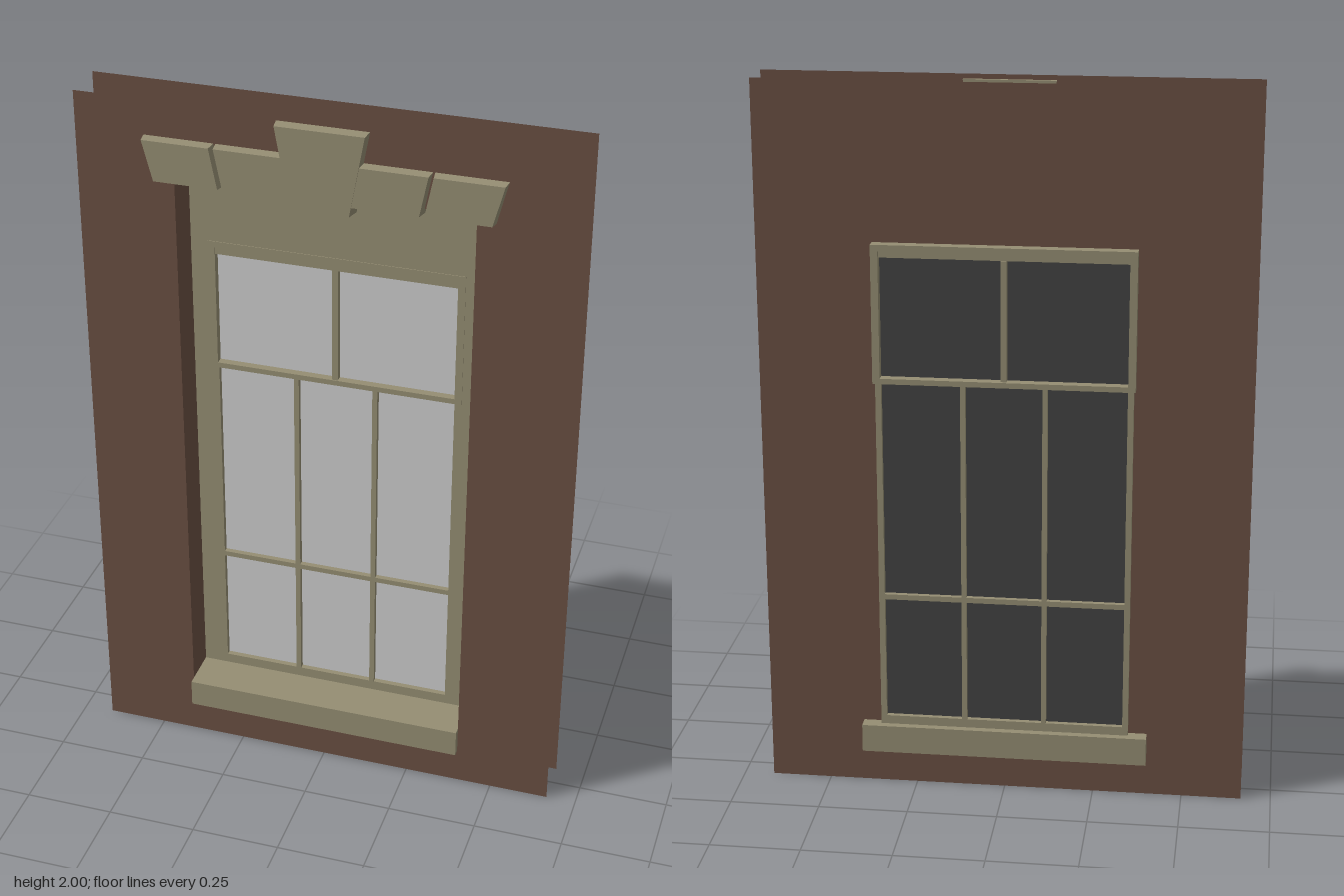
import * as THREE from 'three';

const mat = (name, color, side = THREE.FrontSide) => {
  const m = new THREE.MeshStandardMaterial({ color, side });
  m.name = name;
  return m;
};

export function createModel() {
  const model = new THREE.Group();
  model.name = 'sashWindow';
  const brick = mat('brownBrick', 0x6a4f42, THREE.DoubleSide);
  const stone = mat('paleStone', 0x958e73, THREE.DoubleSide);
  const blind = mat('lightBlind', 0xcecece);
  const glass = mat('darkGlass', 0x424242);

  const add = (name, geometry, material, parent = model) => {
    const mesh = new THREE.Mesh(geometry, material);
    mesh.name = name;
    parent.add(mesh);
    return mesh;
  };
  // Box given by its limits on each axis
  const box = (name, x0, x1, y0, y1, z0, z1, material, parent) => {
    const m = add(name, new THREE.BoxGeometry(x1 - x0, y1 - y0, z1 - z0), material, parent);
    m.position.set((x0 + x1) / 2, (y0 + y1) / 2, (z0 + z1) / 2);
    return m;
  };
  // Flat rectangle at depth z, facing front or back
  const plane = (name, x0, x1, y0, y1, z, material, facing = 1, parent = model) => {
    const m = add(name, new THREE.PlaneGeometry(x1 - x0, y1 - y0), material, parent);
    m.position.set((x0 + x1) / 2, (y0 + y1) / 2, z);
    if (facing < 0) m.rotation.y = Math.PI;
    return m;
  };
  // Flat sheet with rectangular holes [x0, x1, y0, y1]
  const sheet = (name, [x0, x1, y0, y1], holes, z, material) => {
    const rect = (C, a, b, c, d) => new C([[a, c], [b, c], [b, d], [a, d]].map(p => new THREE.Vector2(...p)));
    const s = rect(THREE.Shape, x0, x1, y0, y1);
    holes.forEach(h => s.holes.push(rect(THREE.Path, ...h)));
    add(name, new THREE.ShapeGeometry(s), material).position.z = z;
  };

  // Front and back wall skins
  const zFront = 0.068, zPanel = -0.035, zBack = -0.062;
  sheet('frontWall', [-0.667, 0.667, 0, 2], [[-0.4, 0.4, 0.17, 1.8]], zFront, brick);
  sheet('backWall', [-0.667, 0.667, 0, 2], [], zBack, brick);

  // Brick reveal lining the opening
  const depth = zFront - zPanel, zMid = (zFront + zPanel) / 2;
  for (const s of [-1, 1]) {
    const jamb = add(s > 0 ? 'leftReveal' : 'rightReveal', new THREE.PlaneGeometry(depth, 1.63), brick);
    jamb.rotation.y = -s * Math.PI / 2;
    jamb.position.set(s * 0.4, 0.985, zMid);
  }
  for (const [name, y] of [['topReveal', 1.8], ['bottomReveal', 0.17]]) {
    const m = add(name, new THREE.PlaneGeometry(0.8, depth), brick);
    m.rotation.x = Math.PI / 2;
    m.position.set(0, y, zMid);
  }

  // Surround panel behind the reveal, and the blind
  sheet('surroundPanel', [-0.4, 0.4, 0.17, 1.8],
    [[-0.333, 0.333, 0.21, 1.19], [-0.333, 0.333, 1.205, 1.535]], zPanel, stone);
  plane('blind', -0.624, 0.624, 0.065, 1.92, -0.055, blind);

  // Upper sash
  const upper = new THREE.Group();
  upper.name = 'upperSash';
  model.add(upper);
  const uz = [-0.093, -0.033];
  for (const s of [-1, 1]) {
    box('upperStile', s * 0.343 - 0.01, s * 0.343 + 0.01, 1.19, 1.572, ...uz, stone, upper);
  }
  box('upperTopRail', -0.333, 0.333, 1.555, 1.572, ...uz, stone, upper);
  box('upperInnerRail', -0.333, 0.333, 1.535, 1.555, -0.08, -0.036, stone, upper);
  box('meetingRail', -0.333, 0.333, 1.19, 1.205, ...uz, stone, upper);
  box('upperBar', -0.008, 0.008, 1.205, 1.535, -0.085, -0.036, stone, upper);
  plane('upperGlass', -0.34, 0.34, 1.2, 1.56, -0.066, glass, -1, upper);

  // Lower sash
  const lower = new THREE.Group();
  lower.name = 'lowerSash';
  model.add(lower);
  const lz = [-0.08, -0.04];
  for (const s of [-1, 1]) {
    box('lowerStile', s * 0.34 - 0.008, s * 0.34 + 0.008, 0.18, 1.19, ...lz, stone, lower);
    box('lowerBar', s * 0.111 - 0.007, s * 0.111 + 0.007, 0.2, 1.19, ...lz, stone, lower);
  }
  box('lowerBottomRail', -0.333, 0.333, 0.18, 0.21, ...lz, stone, lower);
  box('lowerCrossBar', -0.333, 0.333, 0.563, 0.578, ...lz, stone, lower);
  plane('lowerGlass', -0.34, 0.34, 0.19, 1.19, -0.066, glass, -1, lower);

  // Sill
  box('sill', -0.4, 0.4, 0.105, 0.185, -0.1, 0.09, stone);

  // Lintel stones: boxes tapered downward, with a slightly smaller front face
  const wedge = (name, [tl, tr], [bl, br], y0, y1, z0, z1) => {
    const g = new THREE.BoxGeometry(1, 1, 1), p = g.attributes.position;
    for (let i = 0; i < p.count; i++) {
      const right = p.getX(i) > 0, top = p.getY(i) > 0, front = p.getZ(i) > 0;
      const inset = front ? 0.006 : 0;
      const x = top ? (right ? tr : tl) : (right ? br : bl);
      p.setXYZ(i, x + (right ? -inset : inset),
        top ? y1 - inset / 2 : y0 + inset, front ? z1 : z0);
    }
    g.computeVertexNormals();
    add(name, g, stone);
  };
  for (const s of [-1, 1]) {
    const span = (a, b) => (s > 0 ? [a, b] : [-b, -a]);
    wedge('outerLintelStone', span(0.288, 0.481), span(0.266, 0.452), 1.783, 1.903, 0.05, 0.098);
    wedge('innerLintelStone', span(0.09, 0.287), span(0.07, 0.265), 1.783, 1.903, 0.05, 0.098);
  }
  wedge('keystone', [-0.124, 0.124], [-0.084, 0.084], 1.757, 1.988, 0.052, 0.1);

  return model;
}
